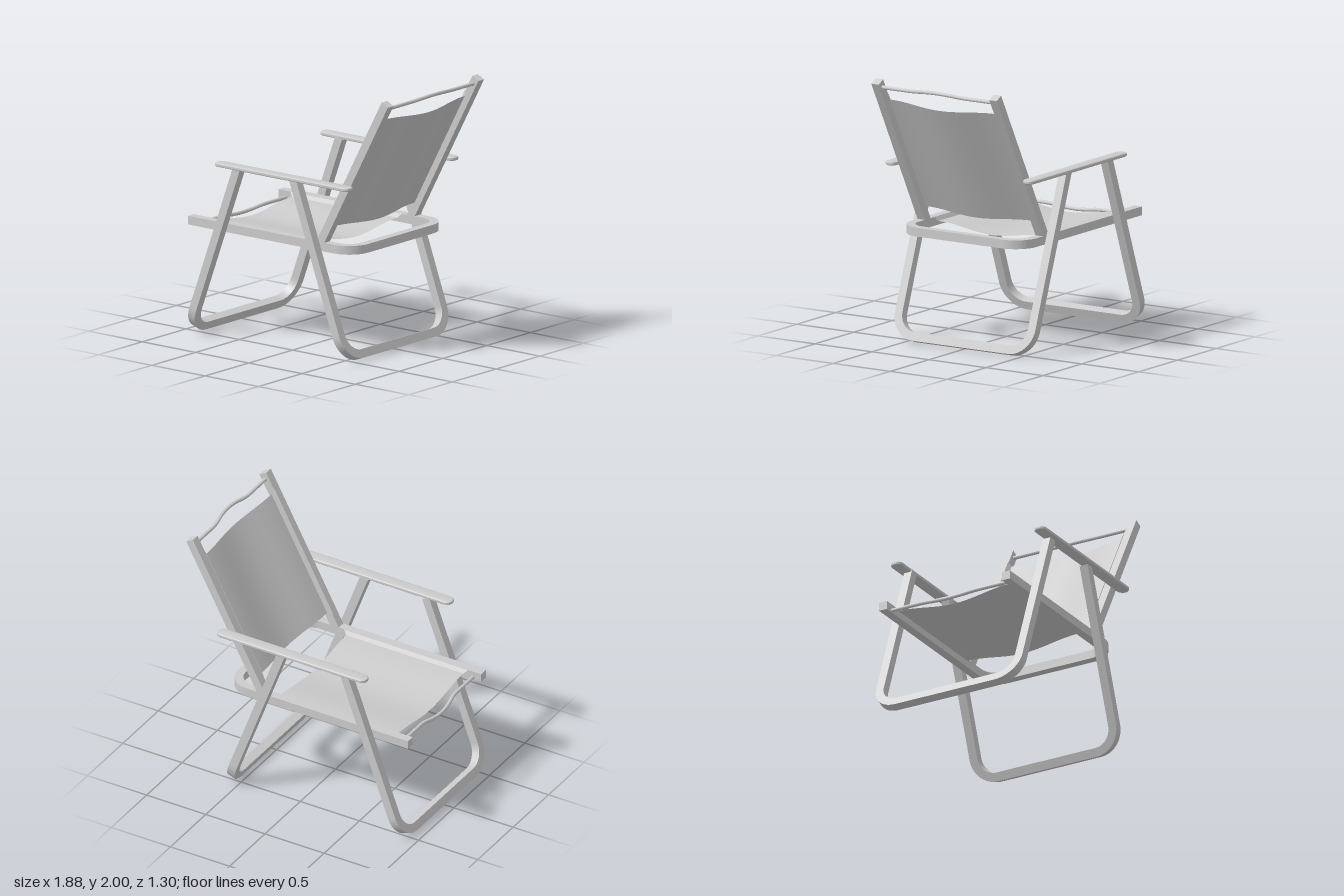
import * as THREE from 'three';
import { toCreasedNormals } from 'three/addons/utils/BufferGeometryUtils.js';

const T = 0.065; // square bar thickness
const mat = new THREE.MeshStandardMaterial({ color: 0xcccccc });
const fabricMat = new THREE.MeshStandardMaterial({ color: 0xcccccc, side: THREE.DoubleSide });

// Places geometry so local x runs across the chair (z) and local y runs along (dx, dy)
function orient(geo, x, y, dx, dy) {
  const m = new THREE.Matrix4().makeBasis(
    new THREE.Vector3(0, 0, 1),
    new THREE.Vector3(dx, dy, 0),
    new THREE.Vector3(-dy, dx, 0)
  ).setPosition(x, y, 0);
  return geo.applyMatrix4(m);
}

// U-shaped bar with rounded corners, closed end at local y = 0
function uFrame(half, length, r) {
  const i = half - T, ri = r - T;
  const s = new THREE.Shape();
  s.moveTo(-half, length);
  s.lineTo(-half, r);
  s.absarc(-half + r, r, r, Math.PI, Math.PI * 1.5, false);
  s.lineTo(half - r, 0);
  s.absarc(half - r, r, r, Math.PI * 1.5, Math.PI * 2, false);
  s.lineTo(half, length);
  s.lineTo(i, length);
  s.lineTo(i, r);
  s.absarc(half - r, r, ri, 0, -Math.PI / 2, true);
  s.lineTo(-half + r, T);
  s.absarc(-half + r, r, ri, -Math.PI / 2, -Math.PI, true);
  s.lineTo(-i, length);
  return new THREE.ExtrudeGeometry(s, { depth: T, bevelEnabled: false, curveSegments: 8 })
    .translate(0, 0, -T / 2);
}

// Fabric panel that sags in the middle, with flared side flaps rising along the rails
function sling(length) {
  const cols = 18, inner = 0.467, outer = 0.486;
  const geo = new THREE.PlaneGeometry(2, length, cols, 1);
  const p = geo.attributes.position;
  for (let k = 0; k < p.count; k++) {
    const c = k % (cols + 1);
    if (c === 0 || c === cols) {
      p.setXYZ(k, c ? outer : -outer, p.getY(k) * (1 + 0.06 / length), 0.036);
    } else {
      const u = (c - cols / 2) / (cols / 2 - 1);
      p.setXYZ(k, u * inner, p.getY(k), 0.005 - 0.05 * Math.cos(u * Math.PI / 2) ** 2);
    }
  }
  return toCreasedNormals(geo, 0.4);
}

// Thin cross rod with a bow (bx, by) in the middle
function rod(x, y, bx, by) {
  const pts = [[-0.5, 0], [-0.35, 0], [-0.22, 0.05], [-0.1, 0.75], [0, 1],
    [0.1, 0.75], [0.22, 0.05], [0.35, 0], [0.5, 0]]
    .map(([z, k]) => new THREE.Vector3(x + bx * k, y + by * k, z));
  return new THREE.TubeGeometry(new THREE.CatmullRomCurve3(pts), 48, 0.014, 10);
}

// Flat armrest with round ends and softened edges
function armrest() {
  const b = 0.016, r = 0.048 - b, h = 0.633 - 0.048;
  const s = new THREE.Shape();
  s.absarc(h, 0, r, -Math.PI / 2, Math.PI / 2, false);
  s.absarc(-h, 0, r, Math.PI / 2, Math.PI * 1.5, false);
  s.closePath();
  const geo = new THREE.ExtrudeGeometry(s, {
    depth: 0.008, bevelThickness: 0.011, bevelSize: b, bevelSegments: 4, curveSegments: 16
  });
  return toCreasedNormals(geo.translate(0, 0, -0.004).rotateX(Math.PI / 2), 0.6);
}

export function createModel() {
  const group = new THREE.Group();
  const add = (name, geo, material = mat) => {
    const m = new THREE.Mesh(geo, material);
    m.name = name;
    group.add(m);
    return m;
  };

  // Crossing leg loops
  const lx = 0.345, ly = 0.9386;
  add('frontLegs', orient(uFrame(0.615, 1.387, 0.2), -0.91, 0.011, lx, ly));
  add('rearLegs', orient(uFrame(0.615, 1.387, 0.2), 0.57, 0.011, -lx, ly));

  // Seat loop, open at the front
  add('seatFrame', orient(uFrame(0.55, 1.545, 0.18), 0.605, 0.8325, -1, 0));
  add('seatFabric', orient(sling(0.99), -0.305, 0.829, 1, 0), fabricMat);
  add('seatRod', rod(-0.868, 0.815, -0.025, -0.024));

  // Reclined back
  const bx = 0.475, by = 0.88;
  const x0 = 0.275, y0 = 0.815, len = 1.329;
  for (const side of [1, -1]) {
    const rail = new THREE.BoxGeometry(T, len, T).translate(side * (0.55 - T / 2), len / 2, 0);
    add(side > 0 ? 'leftBackRail' : 'rightBackRail', orient(rail, x0, y0, bx, by));
    const arm = add(side > 0 ? 'leftArmrest' : 'rightArmrest', armrest());
    arm.position.set(0.003, 1.319, side * 0.603);
  }
  add('backFabric', orient(sling(0.99), 0.591, 1.406, bx, by), fabricMat);
  add('backRod', rod(0.886, 1.942, 0.027, 0.016));

  return group;
}
